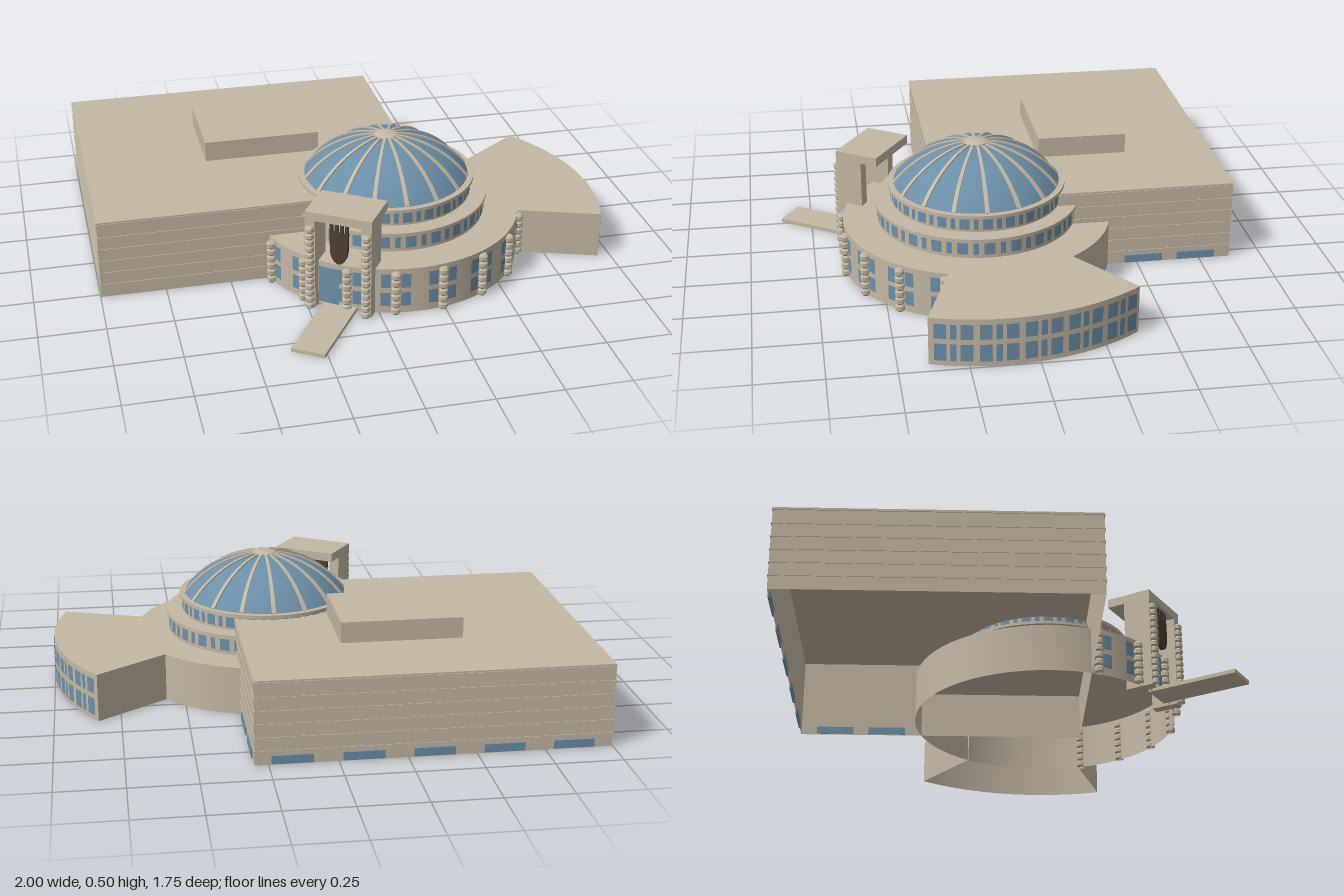
import * as THREE from 'three';
import { mergeGeometries, toCreasedNormals } from 'three/addons/utils/BufferGeometryUtils.js';

const stone = new THREE.MeshStandardMaterial({ name: 'stone', color: 0xc4b8a4, side: THREE.DoubleSide });
const glass = new THREE.MeshStandardMaterial({ name: 'blue glass', color: 0x6c8fa9, side: THREE.DoubleSide });
const bronze = new THREE.MeshStandardMaterial({ name: 'dark bronze', color: 0x4c3f33 });

const rad = THREE.MathUtils.degToRad;
const theta = (a) => rad(90 - a); // plan angle (from +x towards +z) to turn about y

function add(parent, name, geo, mat = stone) {
  const mesh = new THREE.Mesh(geo, mat);
  mesh.name = name;
  parent.add(mesh);
  return mesh;
}

function block(x0, x1, y0, y1, z0, z1) {
  return new THREE.BoxGeometry(x1 - x0, y1 - y0, z1 - z0)
    .translate((x0 + x1) / 2, (y0 + y1) / 2, (z0 + z1) / 2);
}

// Box without its floor, leaving a hollow shell
function shell(...b) {
  const geo = block(...b);
  const idx = Array.from(geo.index.array);
  geo.setIndex([...idx.slice(0, 18), ...idx.slice(24)]);
  geo.clearGroups();
  return geo;
}

function lathe(points, segs = 64, start = 0, length = Math.PI * 2) {
  const geo = new THREE.LatheGeometry(points.map(([x, y]) => new THREE.Vector2(x, y)), segs, start, length);
  return toCreasedNormals(geo, 0.6);
}

// Curved pane centred on plan angle a, w degrees wide
function pane(r, a, w, y0, y1) {
  return new THREE.CylinderGeometry(r, r, y1 - y0, 4, 1, true, theta(a + w / 2), rad(w))
    .translate(0, (y0 + y1) / 2, 0);
}

// Column of stacked rounded drums
function column(r, a, height) {
  const n = Math.round(height / 0.027), h = height / n, pts = [];
  for (let i = 0; i < n; i++) {
    pts.push([0.012, i * h], [0.018, (i + 0.25) * h], [0.018, (i + 0.75) * h]);
  }
  pts.push([0.012, height], [0, height]);
  return lathe(pts, 12).translate(r * Math.cos(rad(a)), 0, r * Math.sin(rad(a)));
}

function buildHall(root) {
  const hall = new THREE.Group();
  hall.name = 'rearHall';
  root.add(hall);
  add(hall, 'hallShell', shell(-0.997, 0.3, 0, 0.315, -0.872, 0.267));
  add(hall, 'roofHousing', shell(-0.52, -0.06, 0.315, 0.395, -0.52, -0.165));
  // Thin courses around the walls
  const courses = [0.05, 0.1, 0.15, 0.2, 0.25, 0.305].flatMap((y) => [
    block(-1, 0.303, y, y + 0.004, -0.875, -0.872),
    block(-1, 0.303, y, y + 0.004, 0.267, 0.27),
    block(-1, -0.997, y, y + 0.004, -0.872, 0.267),
    block(0.3, 0.303, y, y + 0.004, -0.872, 0.267),
  ]);
  add(hall, 'wallCourses', mergeGeometries(courses));
  // Low windows along the back and the right side
  const panes = [];
  for (let i = 0; i < 5; i++) {
    const x = 0.24 - i * 0.255;
    panes.push(block(x - 0.15, x, 0.003, 0.034, -0.877, -0.871));
  }
  for (const z of [-0.6, -0.81]) panes.push(block(0.299, 0.305, 0.003, 0.034, z, z + 0.15));
  add(hall, 'hallWindows', mergeGeometries(panes), glass);
}

function buildRotunda(root) {
  const rotunda = new THREE.Group();
  rotunda.name = 'rotunda';
  root.add(rotunda);
  add(rotunda, 'rotundaBase', lathe([[0.52, 0], [0.52, 0.185], [0, 0.185]], 72));
  add(rotunda, 'lowerDrum', lathe([
    [0.385, 0.185], [0.385, 0.253], [0.396, 0.253], [0.396, 0.265], [0.32, 0.265]]));
  add(rotunda, 'upperDrum', lathe([
    [0.33, 0.265], [0.33, 0.322], [0.343, 0.322], [0.343, 0.335], [0.31, 0.335]]));

  // Drum windows: a wide pane and a narrow pane, repeated around
  const panes = [];
  for (let i = 0; i < 24; i++) {
    const a = i * 15;
    panes.push(pane(0.388, a, 6, 0.2, 0.246), pane(0.388, a + 7.5, 3, 0.2, 0.246));
    panes.push(pane(0.333, a, 6.5, 0.275, 0.317), pane(0.333, a + 7.5, 3, 0.275, 0.317));
  }
  add(rotunda, 'drumWindows', mergeGeometries(panes), glass);

  // Columns with two rows of windows on either side
  const columns = [], lights = [];
  for (let a = 20; a <= 160; a += 20) {
    columns.push(column(0.527, a, 0.175));
    for (const [y0, y1] of [[0.03, 0.087], [0.107, 0.165]]) {
      for (const s of [-1, 1]) {
        if (a + s * 4 > 24 - 5 && a + s * 4 < 160) lights.push(pane(0.523, a + s * 4.2, 4, y0, y1));
      }
    }
  }
  add(rotunda, 'baseColumns', mergeGeometries(columns));
  add(rotunda, 'baseWindows', mergeGeometries(lights), glass);

  buildDome(rotunda);
  buildWing(rotunda);
  buildEntrance(rotunda);
  rotunda.position.set(0.15, 0, 0.115);
}

function buildDome(parent) {
  const R = 0.408, cy = 0.082, edge = Math.asin(0.32 / R);
  const arc = (r, n = 16) => Array.from({ length: n + 1 }, (_, i) => {
    const t = edge * (1 - i / n);
    return [r * Math.sin(t), cy + r * Math.cos(t)];
  });
  add(parent, 'domeGlass', lathe(arc(R), 64), glass);
  // Sixteen ribs tapering towards the crown
  const ribs = [];
  for (let i = 0; i < 16; i++) {
    const rib = new THREE.BoxGeometry(1, 0.008, 1, 1, 1, 14);
    const p = rib.attributes.position;
    for (let k = 0; k < p.count; k++) {
      const u = p.getZ(k) + 0.5, t = edge * (0.08 + 0.92 * u), r = R + 0.001 + p.getY(k);
      p.setXYZ(k, p.getX(k) * (0.009 + 0.008 * u), cy + r * Math.cos(t), r * Math.sin(t));
    }
    rib.computeVertexNormals();
    ribs.push(rib.rotateY(i * Math.PI / 8));
  }
  add(parent, 'domeRibs', mergeGeometries(ribs));
  add(parent, 'domeCrown', lathe([[0.046, 0.482], [0.046, 0.493], [0.034, 0.499], [0, 0.499]], 32));
}

function buildWing(parent) {
  const wing = new THREE.Group();
  wing.name = 'curvedWing';
  parent.add(wing);
  const a0 = -36, a1 = 19, R = 0.847, h = 0.185;
  add(wing, 'wingShell', lathe([[R, 0], [R, h], [0.515, h]], 28, theta(a1), rad(a1 - a0)));
  for (const a of [a0, a1]) {
    add(wing, 'wingEndWall', new THREE.PlaneGeometry(R - 0.515, h)
      .translate((R + 0.515) / 2, h / 2, 0).rotateY(-rad(a)));
  }
  const panes = [];
  for (let i = 0; i < 5; i++) {
    for (const [o, w] of [[2.2, 3], [5.4, 1.5], [8.5, 3]]) {
      for (const [y0, y1] of [[0.02, 0.087], [0.107, 0.165]]) {
        panes.push(pane(R + 0.003, a0 + 0.4 + i * 10.8 + o, w, y0, y1));
      }
    }
  }
  add(wing, 'wingWindows', mergeGeometries(panes), glass);
}

// Portico facing diagonally forward; its local +z points outwards
function buildEntrance(parent) {
  const entry = new THREE.Group();
  entry.name = 'entrance';
  entry.rotation.y = theta(123);
  parent.add(entry);
  add(entry, 'porticoRoof', block(-0.13, 0.13, 0.367, 0.402, 0.368, 0.548));
  for (const s of [-1, 1]) {
    add(entry, 'porticoSideWall', block(s * 0.11 - 0.02, s * 0.11 + 0.02, 0, 0.367, 0.438, 0.548));
    add(entry, 'porticoColumn', column(0.562, 90 + s * 11.3, 0.345));
  }
  add(entry, 'entrancePath', block(-0.065, 0.065, 0, 0.015, 0.5, 0.86));
  add(parent, 'entranceDoor', pane(0.524, 128, 9, 0.015, 0.165), glass);

  // Hanging bronze ornament: crossbars above a tapering shield
  const shield = new THREE.Shape();
  shield.moveTo(-0.036, 0.325);
  shield.lineTo(-0.034, 0.25);
  shield.quadraticCurveTo(-0.03, 0.205, 0, 0.198);
  shield.quadraticCurveTo(0.03, 0.205, 0.034, 0.25);
  shield.lineTo(0.036, 0.325);
  add(entry, 'ornamentShield', new THREE.ExtrudeGeometry(shield, { depth: 0.015, bevelEnabled: false })
    .translate(0, 0, 0.525), bronze);
  for (let i = 0; i < 4; i++) {
    const x = -0.03 + i * 0.02;
    add(entry, 'ornamentHanger', block(x - 0.006, x + 0.006, 0.32, 0.367, 0.527, 0.538), bronze);
  }
}

export function createModel() {
  const root = new THREE.Group();
  root.name = 'domedBuilding';
  buildHall(root);
  buildRotunda(root);
  return root;
}
